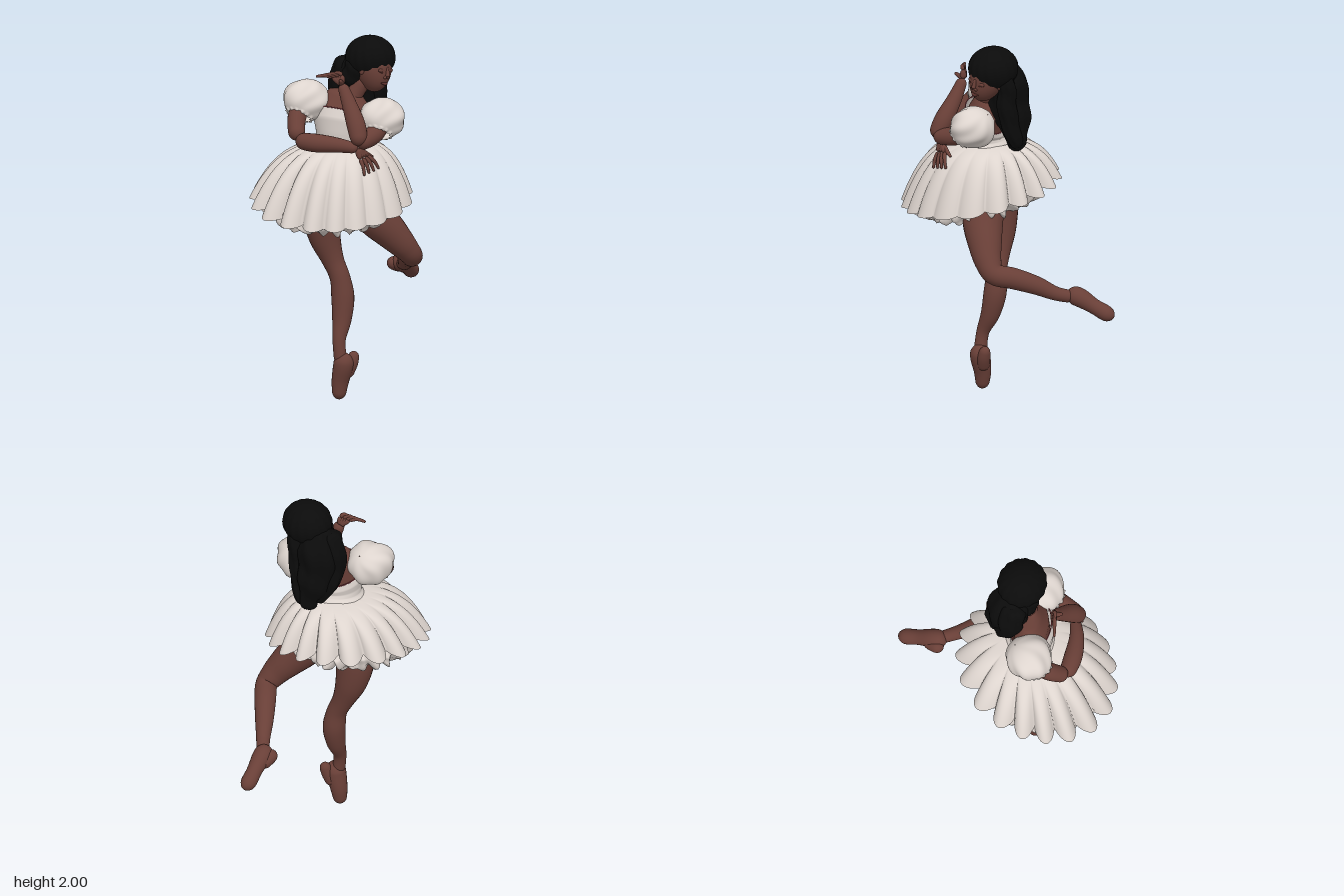
import * as THREE from 'three';

const V = (x, y, z) => new THREE.Vector3(x, y, z);
const material = (name, color, side = THREE.FrontSide) => {
  const m = new THREE.MeshStandardMaterial({ color, side });
  m.name = name;
  return m;
};

// Smooth surface, closed in u (0..2PI) and open in v (0..1)
function grid(nu, nv, point) {
  const pos = [], idx = [];
  for (let j = 0; j <= nv; j++) for (let i = 0; i < nu; i++) pos.push(...point(i / nu * Math.PI * 2, j / nv).toArray());
  for (let j = 0; j < nv; j++) for (let i = 0; i < nu; i++) {
    const a = j * nu + i, b = j * nu + (i + 1) % nu;
    idx.push(a, b, a + nu, b, b + nu, a + nu);
  }
  const g = new THREE.BufferGeometry();
  g.setAttribute('position', new THREE.Float32BufferAttribute(pos, 3));
  g.setIndex(idx);
  g.computeVertexNormals();
  return g;
}

// Rounded tube through points [x, y, z, radius]; ripple changes the section
function limb(pts, nu = 20, nv = 48, ripple = () => 1) {
  const path = new THREE.CatmullRomCurve3(pts.map(p => V(p[0], p[1], p[2])));
  const radii = new THREE.CatmullRomCurve3(pts.map((p, i) => V(p[3], i, 0)), false, 'catmullrom', 0.5);
  const total = path.getLength();
  const rings = [];
  let n = null, run = 0, last = null;
  for (let j = 0; j <= nv; j++) {
    const t = (1 - Math.cos(Math.PI * j / nv)) / 2;
    const c = path.getPoint(t), tan = path.getTangent(t);
    if (!n) n = Math.abs(tan.y) < 0.9 ? V(0, 1, 0) : V(1, 0, 0);
    n = n.clone().addScaledVector(tan, -n.dot(tan)).normalize();
    if (last) run += c.distanceTo(last);
    last = c;
    const r = radii.getPoint(t).x;
    const d = Math.min(1, Math.max(0, Math.min(run, total - run)) / r);
    const end = j === 0 || j === nv ? 0.001 : Math.sqrt(1 - (1 - d) ** 2) + 0.001;
    rings.push({ c, n, b: tan.clone().cross(n), r: r * end });
  }
  return grid(nu, nv, (u, v) => {
    const k = rings[Math.round(v * nv)], r = k.r * ripple(u, v);
    return k.c.clone().addScaledVector(k.n, r * Math.cos(u)).addScaledVector(k.b, r * Math.sin(u));
  });
}

// Linear reading of a short table of rows
function rowAt(rows, v) {
  const f = v * (rows.length - 1), i = Math.min(rows.length - 2, Math.floor(f)), k = f - i;
  return rows[i].map((a, q) => a + (rows[i + 1][q] - a) * k);
}

export function createModel() {
  const model = new THREE.Group();
  model.name = 'dancer';
  const skin = material('skin', 0x693f37);
  const lip = material('lip', 0x5c302c);
  const hair = material('hair', 0x0b0b0b);
  const cloth = material('cloth', 0xddd4ce, THREE.DoubleSide);
  const trim = material('trim', 0x9c4650);
  const add = (name, geo, mat, parent = model) => {
    const m = new THREE.Mesh(geo, mat);
    m.name = name;
    parent.add(m);
    return m;
  };
  const ball = (name, mat, c, r, parent) => {
    const m = add(name, new THREE.SphereGeometry(1, 32, 24), mat, parent);
    m.position.set(...c);
    m.scale.set(...r);
  };

  // Legs
  add('standingLeg', limb([[-0.14, 1.2, -0.1, 0.1], [-0.15, 1.02, -0.11, 0.104], [-0.133, 0.88, -0.098, 0.087], [-0.108, 0.75, -0.06, 0.06],
    [-0.092, 0.66, -0.025, 0.055], [-0.086, 0.55, -0.008, 0.062], [-0.108, 0.43, 0.005, 0.052], [-0.148, 0.32, 0.022, 0.035], [-0.152, 0.2, 0.04, 0.036]], 24, 64), skin);
  add('raisedLeg', limb([[-0.08, 1.17, 0.08, 0.11], [-0.02, 1.02, 0.16, 0.11], [0.05, 0.92, 0.22, 0.092], [0.11, 0.84, 0.26, 0.073],
    [0.16, 0.785, 0.268, 0.06], [0.23, 0.755, 0.19, 0.058], [0.31, 0.71, 0.095, 0.05], [0.38, 0.66, 0.015, 0.038], [0.44, 0.635, -0.06, 0.034]], 24, 64), skin);

  // Pointed shoes with heels and blunt tips
  add('standingShoe', limb([[-0.14, 0.26, 0.05, 0.042], [-0.142, 0.2, 0.05, 0.055], [-0.145, 0.1, 0.028, 0.047], [-0.152, 0.0, 0.022, 0.033]]), skin);
  add('standingHeel', limb([[-0.078, 0.262, 0.075, 0.025], [-0.098, 0.2, 0.068, 0.035], [-0.125, 0.12, 0.045, 0.035]]), skin);
  add('raisedShoe', limb([[0.4, 0.65, -0.05, 0.045], [0.46, 0.635, -0.08, 0.052], [0.54, 0.592, -0.115, 0.042], [0.6, 0.56, -0.143, 0.043], [0.645, 0.54, -0.158, 0.032]]), skin);
  add('raisedHeel', limb([[0.39, 0.65, -0.1, 0.032], [0.43, 0.63, -0.108, 0.037], [0.5, 0.6, -0.11, 0.035]]), skin);

  // Torso turned towards the right: section axes along the shoulders and the chest
  const L = V(0.56, 0, 0.83), F = V(-0.83, 0, 0.56);
  const torsoPoint = (rows, frontLift, slope, a, v) => {
    const [x, y, z, w, d, k] = rowAt(rows, v);
    return V(x, y + k * (frontLift * Math.sin(a) - slope * Math.cos(a)), z)
      .addScaledVector(L, w * Math.cos(a)).addScaledVector(F, d * Math.sin(a));
  };
  const chestRows = [[-0.08, 1.71, 0.055, 0.03, 0.03, 0], [-0.095, 1.675, 0.04, 0.1, 0.065, 1], [-0.11, 1.61, 0.035, 0.16, 0.097, 1],
    [-0.125, 1.53, 0.025, 0.14, 0.1, 0.5], [-0.13, 1.42, 0.02, 0.11, 0.09, 0]];
  const bodiceRows = [[-0.115, 1.567, 0.035, 0.165, 0.108, 1], [-0.125, 1.525, 0.03, 0.16, 0.12, 0.8], [-0.13, 1.475, 0.025, 0.14, 0.115, 0.3],
    [-0.125, 1.44, 0.02, 0.136, 0.116, 0], [-0.12, 1.39, 0.015, 0.165, 0.15, 0]];
  add('chest', grid(48, 24, (a, v) => torsoPoint(chestRows, 0, 0.035, a, v)), skin);
  add('bodice', grid(48, 24, (a, v) => torsoPoint(bodiceRows, 0.06, 0.03, a, v)), cloth);
  const edge = [...Array(32).keys()].map(i => torsoPoint(bodiceRows, 0.06, 0.03, i * Math.PI / 16, 0));
  add('bodiceTrim', new THREE.TubeGeometry(new THREE.CatmullRomCurve3(edge, true), 96, 0.003, 6, true), trim);
  add('neck', limb([[-0.1, 1.62, 0.04, 0.06], [-0.07, 1.69, 0.07, 0.046], [-0.03, 1.78, 0.11, 0.045]]), skin);

  // Skirt of rounded pleats, hanging lower at the front and the right
  const hang = a => -0.065 * Math.cos(a) + 0.068 * Math.sin(a);
  const pleat = a => 2 * Math.abs(Math.cos(9.5 * a + 0.35 * Math.sin(3 * a))) ** 0.7 - 1;
  add('skirt', grid(304, 24, (a, t) => {
    const amp = 0.045 * t ** 0.9 * (1 - 0.65 * Math.max(0, Math.sin(a)));
    const r = 0.122 + 0.268 * t + amp * pleat(a) + 0.03 * t * Math.max(0, Math.cos(a - 1.2)) ** 2;
    const drop = 0.2 * t + 0.8 * t ** 3;
    return V(-0.11 - 0.08 * t + r * 1.06 * Math.cos(a), 1.425 - (0.3 + hang(a)) * drop - 0.25 * amp * pleat(a), r * 0.97 * Math.sin(a) + 0.02 * (1 - t));
  }), cloth);

  // Ruffled petticoat, folding inwards round the legs
  const petticoat = [[0.24, 1.24, 0], [0.345, 1.13, 0.6], [0.335, 1.07, 1], [0.29, 1.035, 1], [0.23, 1.045, 1], [0.16, 1.09, 0.7], [0.08, 1.13, 0]];
  add('petticoat', grid(240, 24, (a, v) => {
    const [r0, y, k] = rowAt(petticoat, v);
    const r = r0 + 0.018 * k * Math.cos(30 * a + 5 * v) + 0.008 * k * Math.sin(13 * a + 21 * v);
    const tilt = 0.03 * Math.cos(a) - 0.035 * Math.sin(a);
    return V(-0.215 + r * Math.cos(a), y + tilt + 0.014 * k * Math.sin(23 * a + 8 * v), r * Math.sin(a));
  }), cloth);

  // Puff sleeves with uneven gathers and a frilled cuff
  const sleeve = (name, c, r, cuff) => {
    const axis = V(...cuff).sub(V(...c)).normalize();
    const q = new THREE.Quaternion().setFromUnitVectors(V(0, -1, 0), axis);
    add(name, grid(72, 28, (a, v) => {
      const f = 0.02 + v * 0.84 * Math.PI, s = Math.sin(f);
      const fold = 1 + s * (0.04 * Math.cos(7 * a + 3 * Math.sin(4 * v)) + 0.05 * Math.sin(3 * a + 5 * v));
      const flare = v > 0.93 ? 1.12 + 0.1 * Math.cos(14 * a) : 1;
      const p = V(s * fold * flare * Math.cos(a), Math.cos(f), s * fold * flare * Math.sin(a));
      return p.applyQuaternion(q).multiply(V(...r)).add(V(...c));
    }), cloth);
  };
  sleeve('leftSleeve', [-0.03, 1.568, 0.232], [0.12, 0.113, 0.126], [-0.12, 1.47, 0.27]);
  sleeve('rightSleeve', [-0.235, 1.645, -0.135], [0.128, 0.115, 0.125], [-0.33, 1.54, -0.12]);

  // Arms
  add('leftUpperArm', limb([[-0.02, 1.56, 0.23, 0.05], [-0.13, 1.5, 0.26, 0.05], [-0.265, 1.475, 0.275, 0.044]]), skin);
  add('leftForearm', limb([[-0.262, 1.465, 0.28, 0.042], [-0.24, 1.56, 0.235, 0.051], [-0.222, 1.67, 0.165, 0.04], [-0.215, 1.77, 0.105, 0.027]]), skin);
  add('rightUpperArm', limb([[-0.25, 1.65, -0.14, 0.05], [-0.34, 1.57, -0.11, 0.05], [-0.415, 1.475, -0.04, 0.043]]), skin);
  add('rightForearm', limb([[-0.415, 1.468, -0.045, 0.041], [-0.38, 1.465, 0.06, 0.05], [-0.32, 1.46, 0.17, 0.04], [-0.245, 1.44, 0.25, 0.027]]), skin);

  // Hands: a palm, four fanned fingers and a thumb
  const hand = (name, wrist, knuckle, tip, across, thumb) => {
    const g = new THREE.Group();
    g.name = name;
    model.add(g);
    const [w, k, t, s] = [wrist, knuckle, tip, across].map(p => V(...p));
    for (let i = 0; i < 4; i++) {
      const f = i - 1.5, base = k.clone().addScaledVector(s, f), end = t.clone().addScaledVector(s, f * 1.9);
      const mid = base.clone().lerp(end, 0.5).add(V(0, 0.008, 0.006));
      add('palm', limb([[...w.toArray(), 0.02], [...base.toArray(), 0.014]], 10, 16), skin, g);
      add('finger', limb([[...base.toArray(), 0.012], [...mid.toArray(), 0.01], [...end.toArray(), 0.007]], 10, 18), skin, g);
    }
    add('thumb', limb([[...w.toArray(), 0.016], [...w.clone().lerp(V(...thumb), 0.6).toArray(), 0.012], [...thumb, 0.008]], 10, 18), skin, g);
  };
  hand('leftHand', [-0.215, 1.77, 0.105], [-0.23, 1.813, 0.085], [-0.275, 1.82, 0.035], [0.01, 0.004, 0.014], [-0.255, 1.8, 0.13]);
  hand('rightHand', [-0.245, 1.44, 0.25], [-0.22, 1.39, 0.272], [-0.2, 1.31, 0.31], [0.018, 0.004, 0.002], [-0.15, 1.38, 0.275]);

  // Head, tilted and looking slightly down
  const head = new THREE.Group();
  head.name = 'head';
  head.position.set(-0.005, 1.83, 0.14);
  head.rotation.set(0.1, 0, -0.16);
  model.add(head);
  add('face', grid(40, 32, (a, v) => {
    const f = v * Math.PI, y = Math.cos(f), jaw = y < 0 ? 1 + 0.2 * y : 1;
    return V(0.094 * jaw * Math.sin(f) * Math.cos(a), 0.127 * y, 0.105 * Math.sin(f) * Math.sin(a) + (y < 0 ? -0.02 * y : 0));
  }), skin, head);
  add('nose', limb([[0, 0.03, 0.094, 0.01], [0, -0.005, 0.107, 0.011], [0, -0.024, 0.112, 0.015]], 14, 20), skin, head);
  add('lips', limb([[-0.026, -0.06, 0.094, 0.004], [0, -0.064, 0.105, 0.008], [0.026, -0.06, 0.094, 0.004]], 10, 16), lip, head);
  for (const s of [-1, 1]) {
    ball('nostril', skin, [s * 0.012, -0.028, 0.104], [0.01, 0.008, 0.01], head);
    ball('eyelid', skin, [s * 0.036, 0.008, 0.09], [0.02, 0.011, 0.01], head);
    ball('ear', skin, [s * 0.09, -0.01, 0.0], [0.01, 0.028, 0.018], head);
    add('lashes', limb([[s * 0.018, 0.0, 0.1, 0.002], [s * 0.036, -0.004, 0.098, 0.002], [s * 0.055, 0.001, 0.086, 0.002]], 6, 12), lip, head);
  }

  // Hair: ridged cap and long gathered curls
  add('hairCap', grid(80, 36, (a, v) => {
    const f = v * Math.PI, k = 1 + 0.018 * Math.sin(f) * Math.cos(16 * a + 6 * v);
    return V(0.007 + 0.131 * k * Math.sin(f) * Math.cos(a), 1.883 + 0.117 * Math.cos(f), 0.108 + 0.138 * k * Math.sin(f) * Math.sin(a));
  }), hair);
  const strands = (u, v) => 1 + 0.05 * Math.cos(7 * u + 9 * v) + 0.05 * Math.sin(26 * v + u);
  const curl = (name, pts) => add(name, limb(pts, 40, 64, strands), hair);
  curl('longHair', [[0.0, 1.89, 0.05, 0.1], [0.005, 1.77, 0.01, 0.115], [0.02, 1.65, -0.005, 0.11], [0.05, 1.56, -0.005, 0.092],
    [0.075, 1.48, 0.0, 0.06], [0.082, 1.4, 0.005, 0.046]]);
  curl('sideCurl', [[0.085, 1.87, 0.11, 0.045], [0.092, 1.77, 0.09, 0.048], [0.085, 1.67, 0.085, 0.052], [0.093, 1.56, 0.065, 0.048], [0.105, 1.43, 0.015, 0.038]]);
  curl('backCurl', [[-0.03, 1.87, 0.0, 0.08], [-0.04, 1.75, -0.045, 0.075], [-0.035, 1.64, -0.06, 0.065], [0.01, 1.54, -0.05, 0.055], [0.055, 1.45, -0.015, 0.04]]);
  curl('templeCurl', [[-0.06, 1.91, 0.09, 0.05], [-0.062, 1.82, 0.065, 0.062], [-0.06, 1.73, 0.01, 0.055]]);

  return model;
}
